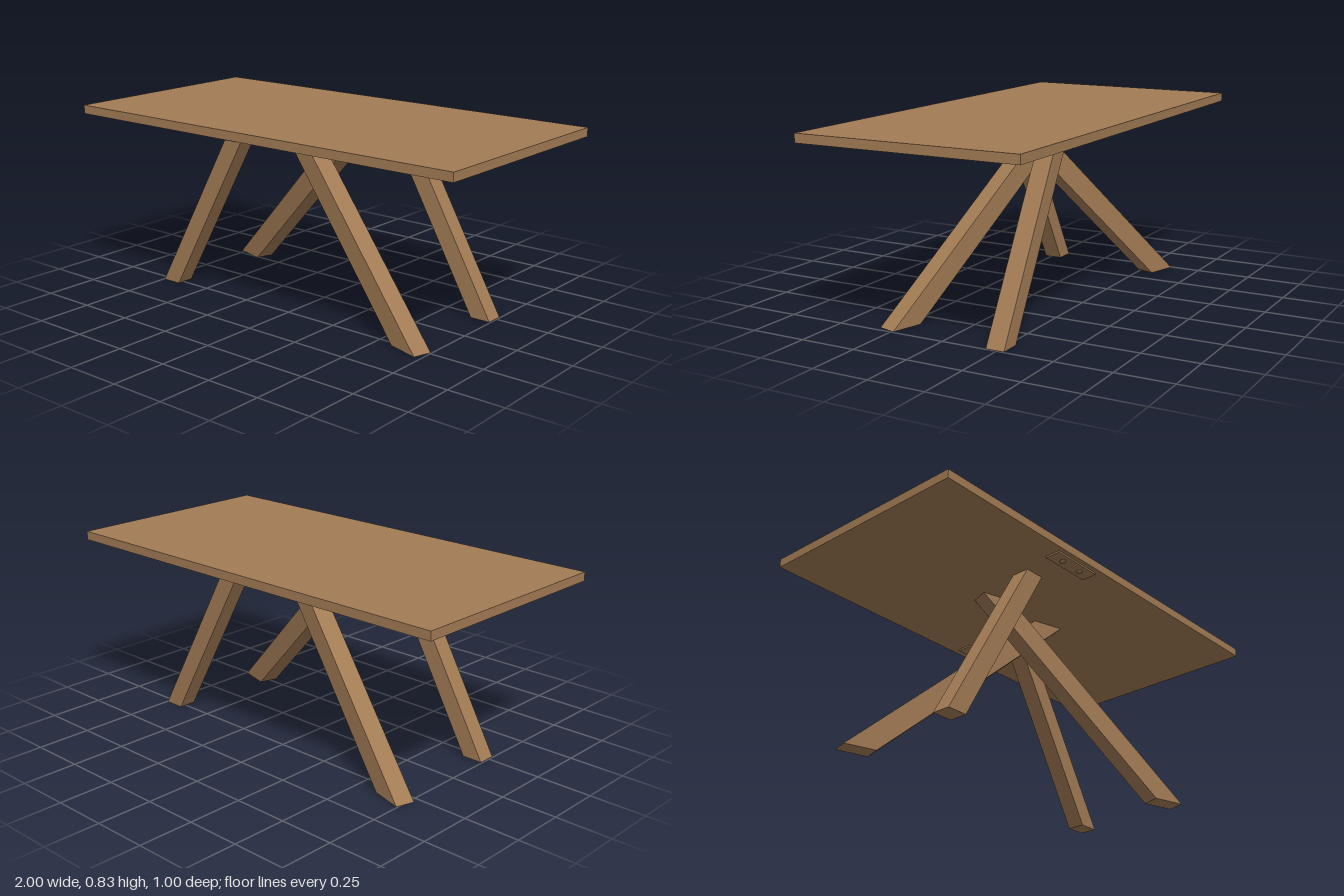
import * as THREE from 'three';

const UNDERSIDE = 0.795;

export function createModel() {
  const table = new THREE.Group();
  table.name = 'table';
  const wood = new THREE.MeshStandardMaterial({ color: 0xa27b54 });
  wood.name = 'brown wood';

  const add = (name, geometry, x, y, z, parent = table) => {
    const mesh = new THREE.Mesh(geometry, wood);
    mesh.name = name;
    mesh.position.set(x, y, z);
    parent.add(mesh);
    return mesh;
  };

  // Flat slab top
  add('tableTop', new THREE.BoxGeometry(2, 0.039, 1), 0, UNDERSIDE + 0.0195, 0);

  // Sheared beam from floor to top: foot and head are [x, z] centres,
  // edgeX and edgeZ are the [x, z] sides of the level cut at both ends
  const addLeg = (name, foot, head, edgeX, edgeZ) => {
    const shear = new THREE.Matrix4().makeBasis(
      new THREE.Vector3(edgeX[0], 0, edgeX[1]),
      new THREE.Vector3(head[0] - foot[0], UNDERSIDE, head[1] - foot[1]),
      new THREE.Vector3(edgeZ[0], 0, edgeZ[1])
    );
    const geometry = new THREE.BoxGeometry(1, 1, 1).applyMatrix4(shear);
    geometry.computeVertexNormals();
    add(name, geometry, (foot[0] + head[0]) / 2, UNDERSIDE / 2, (foot[1] + head[1]) / 2);
  };

  // Two legs leaning along the length only
  addLeg('frontShortLeg', [-0.698, 0.24], [-0.248, 0.24], [0.094, 0], [0, 0.082]);
  addLeg('backShortLeg', [0.698, -0.24], [0.248, -0.24], [0.094, 0], [0, 0.082]);

  // Two long legs crossing in the middle
  addLeg('frontCrossLeg', [0.6625, 0.26], [-0.1875, -0.015], [0.14, 0.04], [-0.025, 0.08]);
  addLeg('backCrossLeg', [-0.6875, -0.3], [0.16, -0.02], [0.14, 0.04], [-0.025, 0.08]);

  // Small fixing plates with two round-headed screws under each long edge
  for (const [name, x, z] of [['frontPlate', -0.2, 0.443], ['backPlate', 0.18, -0.428]]) {
    const bracket = new THREE.Group();
    bracket.name = name;
    bracket.position.set(x, UNDERSIDE, z);
    table.add(bracket);
    add('plate', new THREE.BoxGeometry(0.245, 0.008, 0.07), 0, -0.004, 0, bracket);
    for (const side of [-1, 1]) {
      const head = new THREE.SphereGeometry(0.014, 16, 5, 0, Math.PI * 2, Math.PI / 2, Math.PI / 2);
      head.scale(1, 0.6, 1);
      add('screwHead', head, side * 0.055, -0.008, 0, bracket);
    }
  }

  return table;
}
